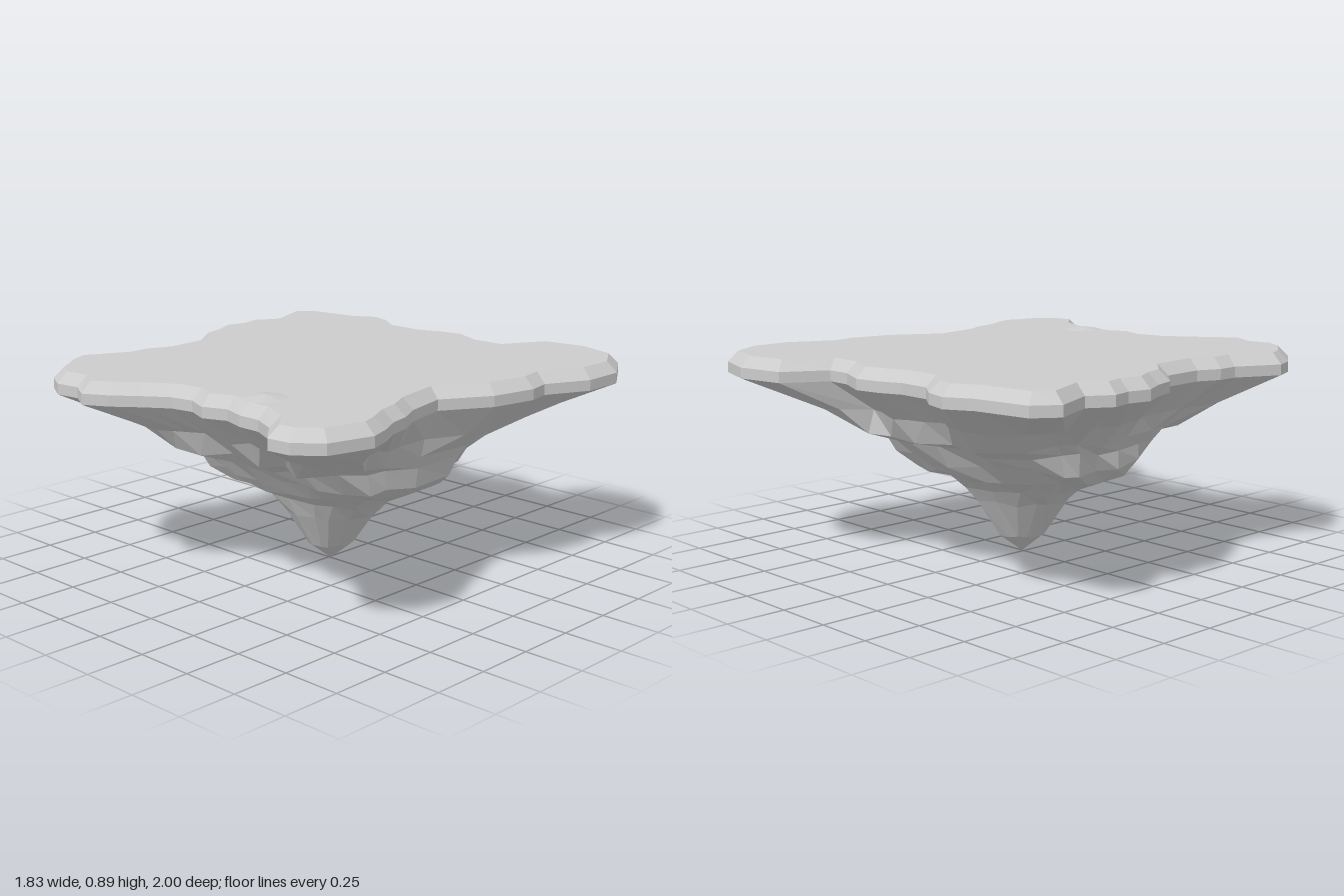
import * as THREE from 'three';

// Plateau outline as (x, z) pairs, from the back left corner round by the right side
const OUTLINE = [
  -0.92, -0.68, -0.85, -0.78, -0.61, -0.82, -0.5, -0.88, -0.39, -0.85, -0.29, -0.78, -0.15, -0.78,
  -0.05, -0.82, 0.06, -0.84, 0.2, -0.78, 0.31, -0.78, 0.41, -0.96, 0.62, -1, 0.81, -0.94,
  0.91, -0.78, 0.91, -0.59, 0.82, -0.4, 0.84, -0.3, 0.8, -0.1, 0.68, 0.1, 0.72, 0.29,
  0.77, 0.39, 0.79, 0.48, 0.84, 0.58, 0.87, 0.67, 0.82, 0.86, 0.72, 0.945, 0.62, 0.955, 0.52, 0.85,
  0.41, 0.8, 0.31, 0.8, 0.21, 0.77, 0.11, 0.81, 0.01, 0.77, -0.09, 0.79, -0.19, 0.86,
  -0.29, 0.94, -0.39, 0.995, -0.49, 0.94, -0.6, 0.955, -0.7, 0.9, -0.8, 0.77, -0.84, 0.67,
  -0.75, 0.48, -0.75, 0.39, -0.71, 0.29, -0.72, 0.1, -0.82, 0, -0.85, -0.1, -0.9, -0.2,
  -0.88, -0.3, -0.9, -0.39, -0.84, -0.49,
];

// Rock rings below the rim: each blends the shrunken outline into an ellipse
const ROCK_RINGS = [
  { y: 0.66, scale: 0.78, rx: 0.7, rz: 0.72, round: 0.35, rough: 0.01, stride: 1 },
  { y: 0.57, scale: 0.68, rx: 0.63, rz: 0.63, round: 0.6, rough: 0.015, stride: 2 },
  { y: 0.53, scale: 0.6, rx: 0.6, rz: 0.51, round: 0.75, rough: 0.015, stride: 2 },
  { y: 0.45, scale: 0.56, rx: 0.56, rz: 0.44, round: 0.85, rough: 0.02, stride: 2 },
  { y: 0.385, scale: 0.5, rx: 0.49, rz: 0.38, round: 0.9, rough: 0.015, stride: 2 },
  { y: 0.355, scale: 0.4, rx: 0.39, rz: 0.3, round: 1, rough: 0.015, stride: 2 },
  { y: 0.305, scale: 0.3, rx: 0.31, rz: 0.23, round: 1, rough: 0.015, stride: 4 },
  { y: 0.24, scale: 0.2, rx: 0.22, rz: 0.19, round: 1, rough: 0.015, stride: 4 },
  { y: 0.08, scale: 0.1, rx: 0.1, rz: 0.1, round: 1, rough: 0.005, stride: 4 },
];

const material = new THREE.MeshStandardMaterial({ color: 0xcccccc, flatShading: true });

// Repeatable noise from -1 to 1
const noise = (a, b) => {
  const s = Math.sin(a * 127.1 + b * 311.7) * 43758.5453;
  return (s - Math.floor(s)) * 2 - 1;
};

// Surface strips between successive rings, listed from top to bottom
function loft(rings) {
  const pos = [];
  const tri = (a, b, c) => {
    const area = b.clone().sub(a).cross(c.clone().sub(a)).length();
    if (area > 1e-7) for (const p of [a, b, c]) pos.push(p.x, p.y, p.z);
  };
  for (let r = 0; r < rings.length - 1; r++) {
    const up = rings[r], low = rings[r + 1], n = up.length;
    for (let i = 0; i < n; i++) {
      const j = (i + 1) % n;
      tri(up[i], up[j], low[i]);
      tri(up[j], low[j], low[i]);
    }
  }
  const geo = new THREE.BufferGeometry();
  geo.setAttribute('position', new THREE.Float32BufferAttribute(pos, 3));
  geo.computeVertexNormals();
  return geo;
}

export function createModel() {
  const group = new THREE.Group();
  group.name = 'floatingIsland';
  const add = (name, geo) => {
    const mesh = new THREE.Mesh(geo, material);
    mesh.name = name;
    group.add(mesh);
    return mesh;
  };

  const edge = [];
  for (let i = 0; i < OUTLINE.length; i += 2) edge.push(new THREE.Vector2(OUTLINE[i], OUTLINE[i + 1]));
  const at = (y) => edge.map((p) => new THREE.Vector3(p.x, y, p.y));

  // Outline moved inwards along its corner normals
  const inset = edge.map((p, i) => {
    const prev = edge[(i + edge.length - 1) % edge.length];
    const next = edge[(i + 1) % edge.length];
    const a = p.clone().sub(prev).normalize();
    const b = next.clone().sub(p).normalize();
    const t = a.add(b).normalize();
    return new THREE.Vector2(p.x - t.y * 0.045, p.y + t.x * 0.045);
  });

  // Rim: upright band with a bevel above it
  add('rim', loft([inset.map((p) => new THREE.Vector3(p.x, 0.88, p.y)), at(0.835), at(0.79)]));

  // Flat ground
  const ground = new THREE.ShapeGeometry(new THREE.Shape(inset.map((p) => new THREE.Vector2(p.x, -p.y))));
  ground.rotateX(-Math.PI / 2);
  add('ground', ground).position.y = 0.88;

  // Small mound on the ground
  const mound = new THREE.ConeGeometry(0.09, 0.015, 8);
  add('mound', mound).position.set(0.31, 0.8875, 0.67);

  // Rocky underside: lower rings merge neighbouring corners so the facets stay chunky
  const rock = ROCK_RINGS.map(({ y, scale, rx, rz, round, rough, stride }, r) =>
    edge.map((_, i) => {
      const k = i - (i % stride);
      const p = edge[Math.min(k + Math.floor(stride / 2), edge.length - 1)];
      const a = Math.atan2(p.y, p.x);
      const swell = 1 + 0.035 * noise(k, r);
      const x = THREE.MathUtils.lerp(p.x * scale, Math.cos(a) * rx, round) * swell;
      const z = THREE.MathUtils.lerp(p.y * scale, Math.sin(a) * rz, round) * swell;
      return new THREE.Vector3(x + 0.01, y + rough * noise(k + 0.5, r), z);
    }));
  const tip = edge.map(() => new THREE.Vector3(0.01, 0, 0));
  add('rockUnderside', loft([at(0.79), ...rock, tip]));

  return group;
}
